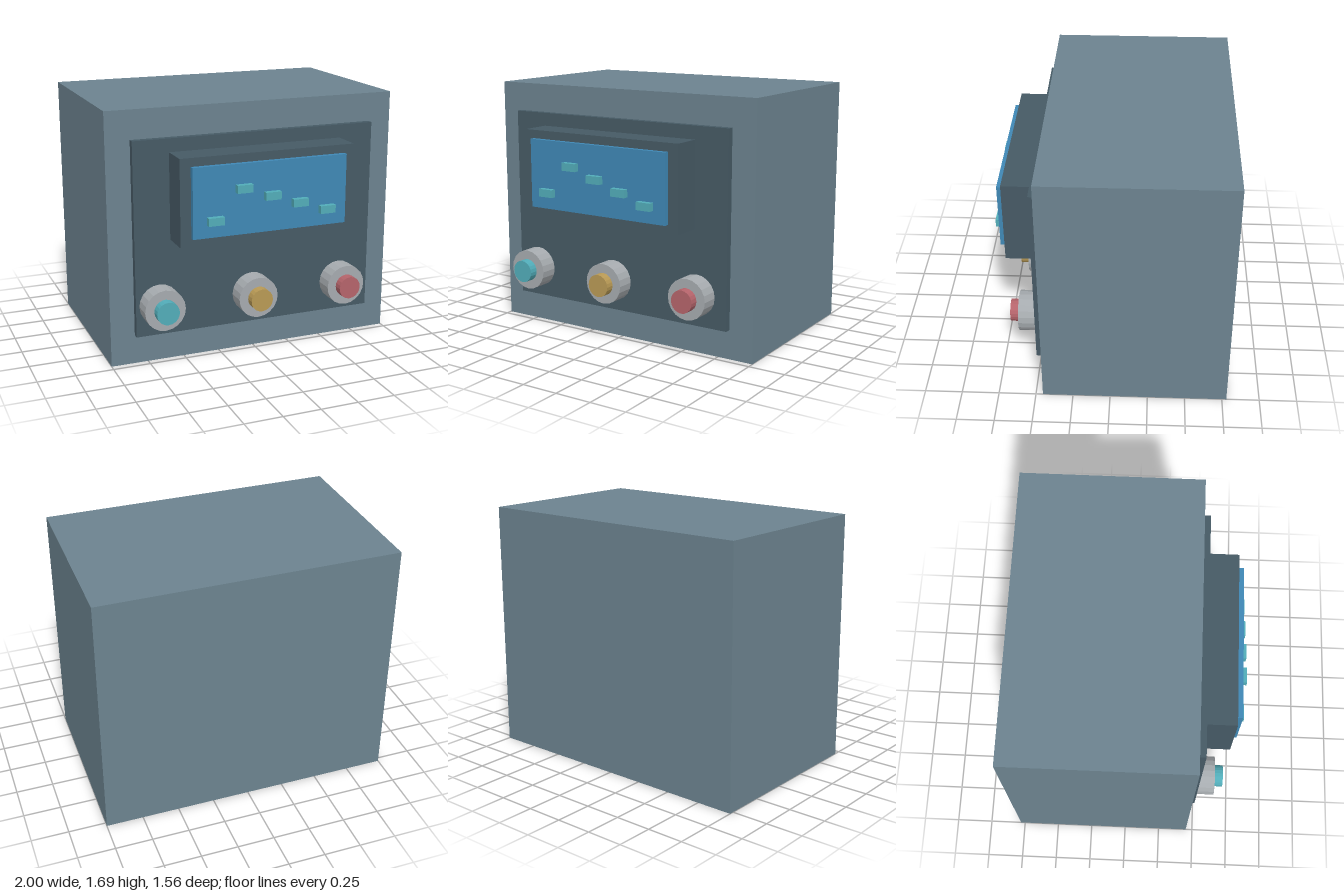
import * as THREE from 'three';

const material = (name, color) => {
  const m = new THREE.MeshStandardMaterial({ color });
  m.name = name;
  return m;
};

export function createModel() {
  const model = new THREE.Group();
  model.name = 'controlConsole';

  const casing = material('blueGrey', 0x6c838f);
  const dark = material('darkSlate', 0x465a65);
  const blue = material('screenBlue', 0x3f88b5);
  const cyan = material('cyan', 0x52adb9);
  const metal = material('lightGrey', 0xa6abaf);
  const amber = material('amber', 0xb99a55);
  const red = material('red', 0xb5646b);

  // Box given by its lower and upper bounds on each axis
  const box = (name, mat, [x0, x1], [y0, y1], [z0, z1]) => {
    const mesh = new THREE.Mesh(new THREE.BoxGeometry(x1 - x0, y1 - y0, z1 - z0), mat);
    mesh.position.set((x0 + x1) / 2, (y0 + y1) / 2, (z0 + z1) / 2);
    mesh.name = name;
    model.add(mesh);
  };

  // Faceted disc facing the front
  const disc = (name, mat, radius, x, y, z0, z1) => {
    const geometry = new THREE.CylinderGeometry(radius, radius, z1 - z0, 20).rotateX(Math.PI / 2).toNonIndexed();
    geometry.computeVertexNormals();
    const mesh = new THREE.Mesh(geometry, mat);
    mesh.position.set(x, y, (z0 + z1) / 2);
    mesh.name = name;
    model.add(mesh);
  };

  // Cabinet, front panel and display
  box('cabinet', casing, [-1, 1], [0, 1.69], [-0.78, 0.453]);
  box('frontPanel', dark, [-0.84, 0.836], [0.2, 1.5], [0.46, 0.504]);
  box('screenHousing', dark, [-0.6, 0.597], [0.84, 1.412], [0.504, 0.705]);
  box('screen', blue, [-0.53, 0.527], [0.898, 1.357], [0.709, 0.743]);

  // Raised trace marks on the screen
  [1.009, 1.201, 1.137, 1.073, 1.009].forEach((y, i) => {
    const x = (i - 2) * 0.193;
    box('traceMark', cyan, [x - 0.053, x + 0.053], [y - 0.026, y + 0.026], [0.743, 0.78]);
  });

  // Round buttons with coloured caps
  [[-0.68, cyan], [-0.033, amber], [0.613, red]].forEach(([x, mat]) => {
    disc('buttonCollar', metal, 0.137, x, 0.408, 0.504, 0.628);
    disc('buttonCap', mat, 0.076, x, 0.408, 0.628, 0.688);
  });

  return model;
}
